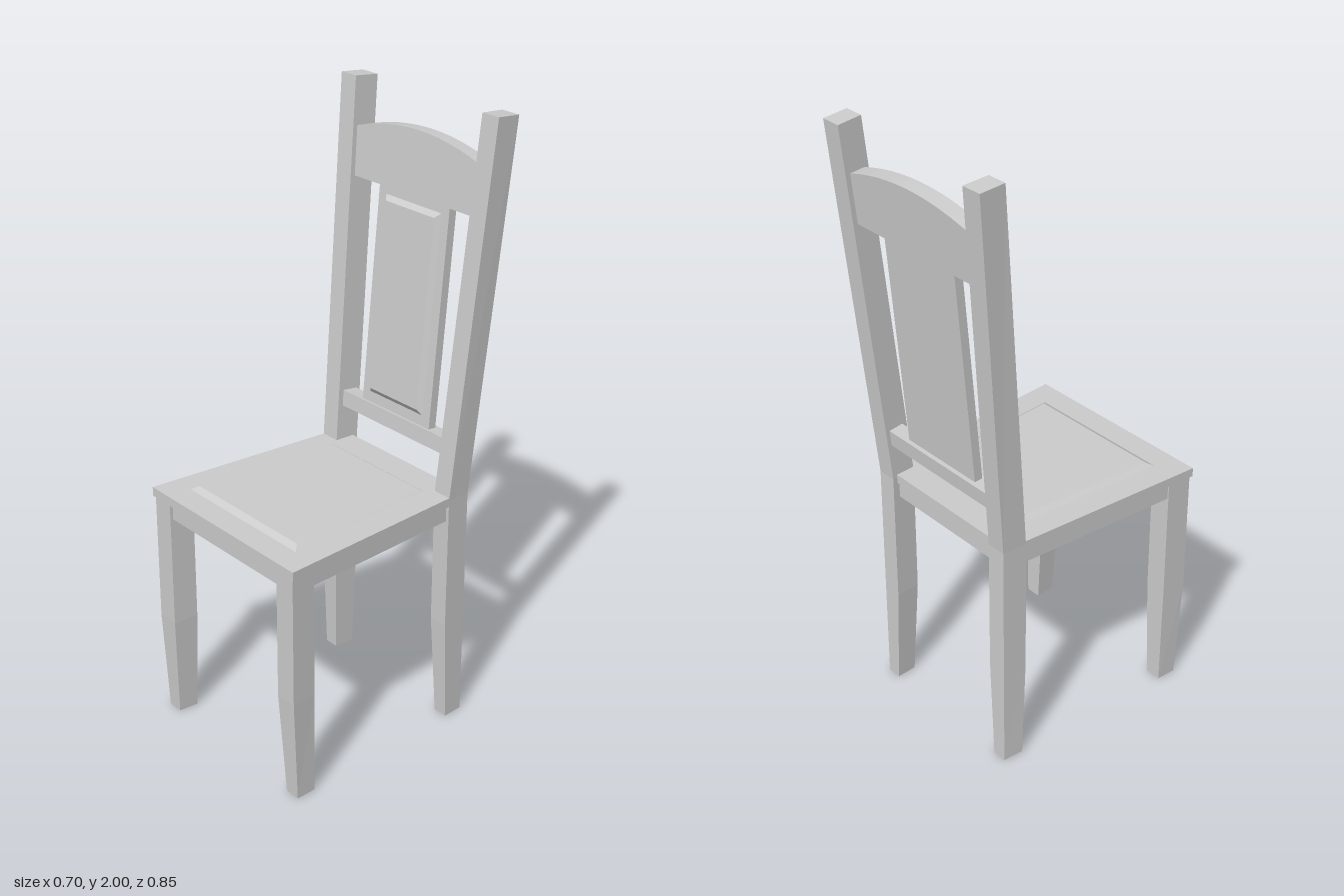
import * as THREE from 'three';

const material = new THREE.MeshStandardMaterial({ color: 0xcccccc, flatShading: true });

function addMesh(parent, name, geometry) {
  const mesh = new THREE.Mesh(geometry, material);
  mesh.name = name;
  parent.add(mesh);
  return mesh;
}

// Flat-faced solid through a stack of four-cornered sections
// (corners counter-clockwise as seen from the end of the stack)
function loft(sections) {
  const pos = [];
  const quad = (a, b, c, d) => pos.push(...a, ...b, ...c, ...a, ...c, ...d);
  for (let s = 0; s < sections.length - 1; s++) {
    const lo = sections[s], hi = sections[s + 1];
    for (let i = 0; i < 4; i++) {
      const j = (i + 1) % 4;
      quad(lo[i], lo[j], hi[j], hi[i]);
    }
  }
  quad(...sections[0].slice().reverse());
  quad(...sections[sections.length - 1]);
  const geo = new THREE.BufferGeometry();
  geo.setAttribute('position', new THREE.Float32BufferAttribute(pos, 3));
  geo.computeVertexNormals();
  return geo;
}

// Plan section at height y: corners as [x, z], inner front, outer front, outer back, inner back
const plan = (y, ...corners) => corners.map(([x, z]) => [x, y, z]);

// Mirror a stack of sections to the other side
const mirror = (sections) =>
  sections.map((s) => s.map(([x, y, z]) => [-x, y, z]).reverse());

function addPair(parent, name, sections) {
  addMesh(parent, 'left' + name, loft(sections));
  addMesh(parent, 'right' + name, loft(mirror(sections)));
}

// Lean of the backrest: d is the depth behind the front plane of the posts
const SLOPE = 0.0875;
const lean = (x, y, d) => [x, y - SLOPE * d, -0.235 - SLOPE * (y - 0.8) - d];

// Board in the leaning plane, extruded from a front outline
function leaningBoard(shape, front, thickness) {
  const geo = new THREE.ExtrudeGeometry(shape, { depth: thickness, bevelEnabled: false, curveSegments: 12 });
  const p = geo.attributes.position;
  for (let i = 0; i < p.count; i++) {
    p.setXYZ(i, ...lean(p.getX(i), p.getY(i), front + thickness - p.getZ(i)));
  }
  geo.computeVertexNormals();
  return geo;
}

// Symmetric four-sided outline
function trapezoid(wBottom, yBottom, wTop, yTop) {
  return new THREE.Shape([[-wBottom, yBottom], [wBottom, yBottom], [wTop, yTop], [-wTop, yTop]]
    .map(([x, y]) => new THREE.Vector2(x, y)));
}

export function createModel() {
  const chair = new THREE.Group();
  chair.name = 'chair';

  // Seat board, notched round the back posts
  const half = [[0.348, 0.425], [0.302, -0.235], [0.235, -0.235], [0.235, -0.3]];
  const outline = [...half, ...half.map(([x, z]) => [-x, z]).reverse()];
  const seatShape = new THREE.Shape(outline.map(([x, z]) => new THREE.Vector2(x, -z)));
  const seat = new THREE.ExtrudeGeometry(seatShape, { depth: 0.03, bevelEnabled: false });
  seat.rotateX(-Math.PI / 2).translate(0, 0.78, 0);
  addMesh(chair, 'seatBoard', seat);

  // Raised, bevelled seat panel
  addMesh(chair, 'seatPanel', loft([
    plan(0.81, [-0.26, 0.343], [0.26, 0.343], [0.22, -0.203], [-0.22, -0.203]),
    plan(0.822, [-0.24, 0.322], [0.24, 0.322], [0.203, -0.186], [-0.203, -0.186]),
  ]));

  // Front legs, tapering on the front and inner faces
  const frontTop = [[0.265, 0.42], [0.34, 0.42], [0.334, 0.335], [0.26, 0.335]];
  addPair(chair, 'FrontLeg', [
    plan(0, [0.281, 0.403], [0.334, 0.403], [0.331, 0.335], [0.277, 0.335]),
    plan(0.35, ...frontTop),
    plan(0.78, ...frontTop),
  ]);

  // Back legs running up into the leaning posts
  const backTop = [[0.236, -0.232], [0.302, -0.232], [0.297, -0.316], [0.231, -0.316]];
  addPair(chair, 'BackPost', [
    plan(0, [0.252, -0.246], [0.302, -0.246], [0.297, -0.316], [0.248, -0.316]),
    plan(0.35, ...backTop),
    plan(0.8, ...backTop),
    [lean(0.275, 2, 0), lean(0.342, 2, 0), lean(0.339, 2, 0.084), lean(0.27, 2, 0.084)],
  ]);

  // Aprons under the seat
  const bar = (...corners) => [plan(0.725, ...corners), plan(0.78, ...corners)];
  addMesh(chair, 'frontApron', loft(bar([-0.27, 0.41], [0.27, 0.41], [0.27, 0.38], [-0.27, 0.38])));
  addMesh(chair, 'backApron', loft(bar([-0.24, -0.262], [0.24, -0.262], [0.24, -0.292], [-0.24, -0.292])));
  addPair(chair, 'SideApron', bar([0.3, 0.34], [0.33, 0.34], [0.29, -0.24], [0.26, -0.24]));

  // Backrest rails
  const backrest = new THREE.Group();
  backrest.name = 'backrest';
  chair.add(backrest);
  addMesh(backrest, 'lowerRail', leaningBoard(trapezoid(0.24, 0.928, 0.242, 0.981), 0.015, 0.052));

  const crest = new THREE.Shape();
  crest.moveTo(-0.268, 1.69);
  crest.lineTo(0.268, 1.69);
  crest.lineTo(0.273, 1.846);
  crest.quadraticCurveTo(0, 1.934, -0.273, 1.846);
  crest.closePath();
  addMesh(backrest, 'crestRail', leaningBoard(crest, 0.015, 0.052));

  // Splat with its raised, bevelled panel
  addMesh(backrest, 'splat', leaningBoard(trapezoid(0.156, 0.975, 0.156, 1.695), 0.025, 0.028));
  const frame = (w, y0, y1, d) => [lean(-w, y0, d), lean(w, y0, d), lean(w, y1, d), lean(-w, y1, d)];
  addMesh(backrest, 'splatPanel', loft([
    frame(0.123, 1.016, 1.664, 0.025),
    frame(0.108, 1.033, 1.648, 0.011),
  ]));

  return chair;
}
